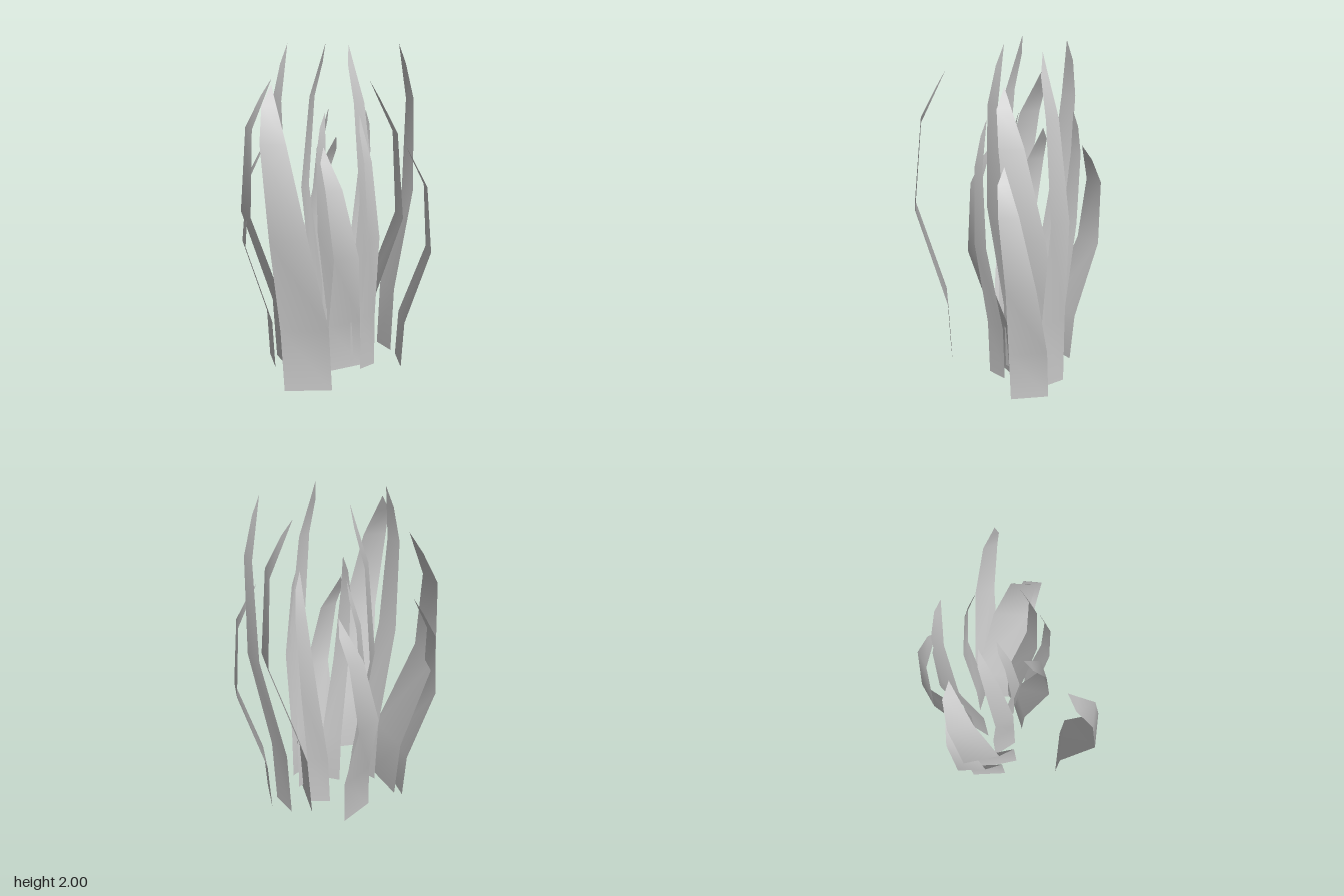
import * as THREE from 'three';

// Blade cross-sections: [height fraction, sideways drift, outward bend, half width]
const SECTIONS = [
  [0, 0, 0, 0.14],
  [0.212, -0.02, 0.018, 0.14],
  [0.542, -0.108, 0.202, 0.105],
  [0.832, -0.187, 0.149, 0.07],
  [0.94, -0.207, 0.048, 0.04],
  [1, -0.194, -0.007, 0],
];

// Sizes: height, spread of the blade and height of its foot
const SIZES = {
  broad: { height: 1.79, spread: 1, foot: 0 },
  short: { height: 1.41, spread: 0.79, foot: 0 },
  tall: { height: 1.96, spread: 0.58, foot: 0.04 },
  slim: { height: 1.565, spread: 0.44, foot: 0.035 },
};

// Clump layout: [size, x, z, heading in degrees]
const BLADES = [
  ['broad', 0.045, 0.295, 28],
  ['broad', -0.277, 0, -42.5],
  ['broad', 0.133, -0.307, 123.3],
  ['short', 0.363, -0.358, 120],
  ['short', -0.3625, -0.005, -52],
  ['short', 0.108, -0.1, 52.7],
  ['short', -0.204, -0.339, -114.9],
  ['tall', -0.158, -0.013, -21],
  ['tall', 0.228, -0.45, 144.7],
  ['tall', 0.166, -0.193, 66],
  ['tall', -0.154, -0.247, -87],
  ['slim', 0.252, -0.109, 68],
  ['slim', 0.03, -0.35, -161],
  ['slim', 0.04, -0.12, 2],
  ['slim', -0.168, -0.325, -95],
];

// A curved, tapering ribbon that ends in a single point
function bladeGeometry({ height, spread }) {
  const positions = [];
  const indices = [];
  const last = SECTIONS.length - 1;
  SECTIONS.forEach(([t, drift, bend, half], i) => {
    const y = t * height;
    if (i === last) {
      positions.push(drift * spread, y, bend * spread);
      return;
    }
    positions.push((drift - half) * spread, y, bend * spread);
    positions.push((drift + half) * spread, y, bend * spread);
    const a = i * 2;
    indices.push(a, a + 1, a + 2);
    if (i < last - 1) indices.push(a + 1, a + 3, a + 2);
  });
  const geometry = new THREE.BufferGeometry();
  geometry.setAttribute('position', new THREE.Float32BufferAttribute(positions, 3));
  geometry.setIndex(indices);
  geometry.computeVertexNormals();
  return geometry;
}

export function createModel() {
  const group = new THREE.Group();
  group.name = 'grassClump';
  const grey = new THREE.MeshStandardMaterial({ color: 0xcccccc, side: THREE.DoubleSide });
  grey.name = 'bladeGrey';

  // One shared geometry per size
  const geometries = {};
  for (const [size, spec] of Object.entries(SIZES)) geometries[size] = bladeGeometry(spec);

  // Plant the blades
  BLADES.forEach(([size, x, z, heading], i) => {
    const blade = new THREE.Mesh(geometries[size], grey);
    blade.name = `${size}Blade${i + 1}`;
    blade.position.set(x, SIZES[size].foot, z);
    blade.rotation.y = THREE.MathUtils.degToRad(heading);
    group.add(blade);
  });
  return group;
}
